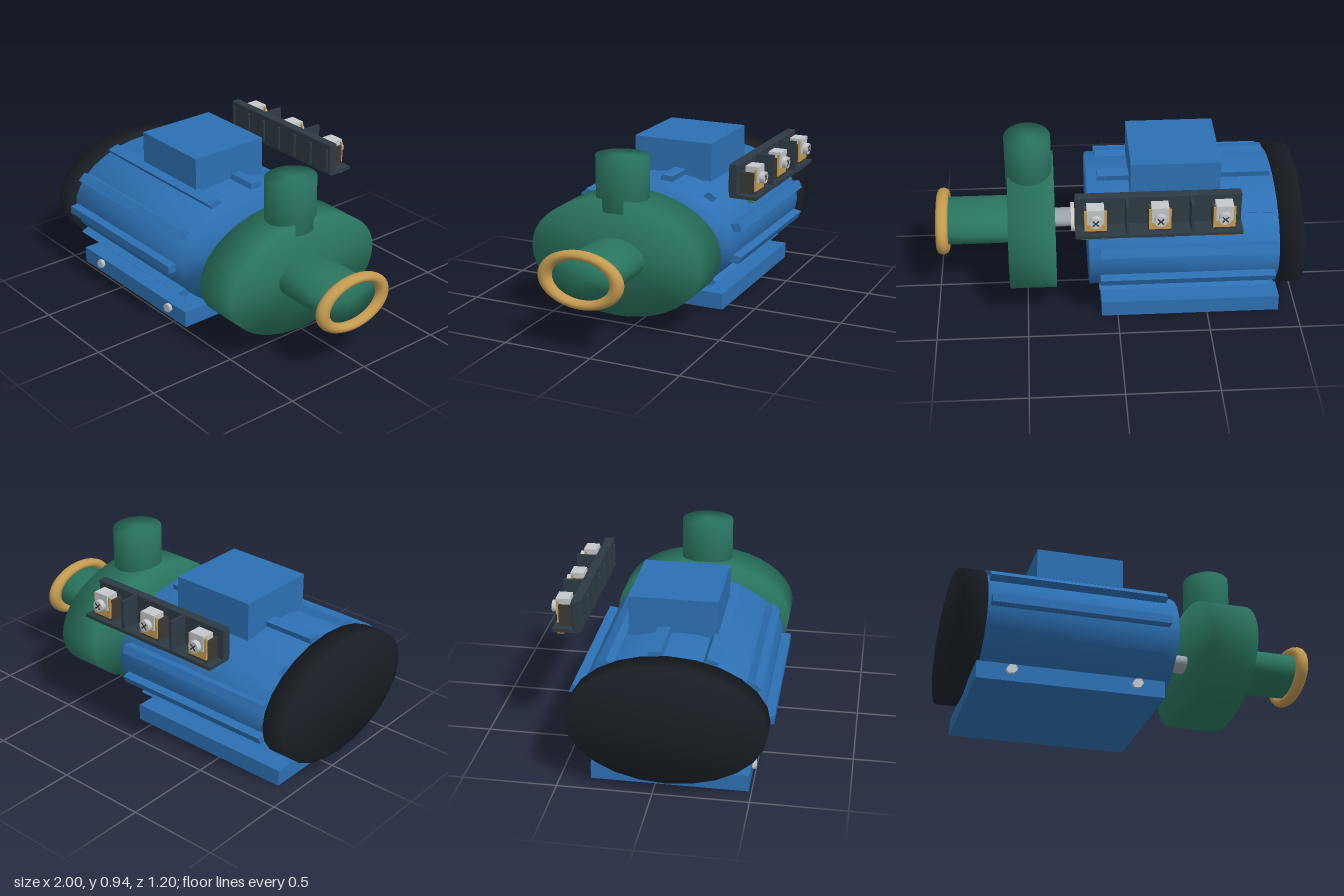
import * as THREE from 'three';
import { mergeVertices } from 'three/addons/utils/BufferGeometryUtils.js';
import { RoundedBoxGeometry } from 'three/addons/geometries/RoundedBoxGeometry.js';

const mat = (color) => new THREE.MeshStandardMaterial({ color });
const AXIS_Y = 0.4, AXIS_Z = 0.067, STRETCH = 1.565; // machine axis runs along x, oval in z

export function createModel() {
  const model = new THREE.Group();
  const blue = mat(0x2d70b3), green = mat(0x2a7560), black = mat(0x1a1f26), tan = mat(0xc49a50);
  const steel = mat(0x9aa3aa), ivory = mat(0xcfc9be), slate = mat(0x2e3a43), brown = mat(0x3b3834);
  const silver = mat(0xc4c8cb);

  const add = (parent, name, geometry, material, x = 0, y = 0, z = 0) => {
    const mesh = new THREE.Mesh(geometry, material);
    mesh.name = name;
    mesh.position.set(x, y, z);
    parent.add(mesh);
    return mesh;
  };
  // box given by its limits
  const block = (parent, name, material, x0, x1, y0, y1, z0, z1) =>
    add(parent, name, new THREE.BoxGeometry(x1 - x0, y1 - y0, z1 - z0), material,
      (x0 + x1) / 2, (y0 + y1) / 2, (z0 + z1) / 2);
  // normals shared across the rims, for a soft cast look
  const soften = (g) => {
    g.deleteAttribute('uv');
    g.deleteAttribute('normal');
    const merged = mergeVertices(g, 1e-4);
    merged.computeVertexNormals();
    return merged;
  };
  // oval drum along x
  const drum = (name, material, x0, x1, r, soft = true, segments = 24) => {
    const g = new THREE.CylinderGeometry(r, r, x1 - x0, segments);
    g.rotateZ(Math.PI / 2).scale(1, 1, STRETCH);
    return add(model, name, soft ? soften(g) : g, material, (x0 + x1) / 2, AXIS_Y, AXIS_Z);
  };

  // motor
  drum('motorBody', blue, -0.88, 0.155, 0.31, true, 32);
  drum('fanCover', black, -1, -0.87, 0.33);
  const fins = new THREE.Group();
  fins.name = 'coolingFins';
  fins.position.set(-0.375, AXIS_Y, AXIS_Z);
  fins.scale.z = STRETCH;
  for (let i = 0; i < 11; i++) {
    const a = (i * 2 * Math.PI) / 11;
    const fin = add(fins, 'coolingFin', new THREE.BoxGeometry(0.95, 0.045, 0.045), blue,
      0, 0.318 * Math.sin(a), 0.318 * Math.cos(a));
    fin.rotation.x = -a;
  }
  model.add(fins);
  block(model, 'junctionBox', blue, -0.56, -0.075, 0.68, 0.895, -0.195, 0.273);

  // base with bolt heads
  block(model, 'basePlate', blue, -0.9, 0.09, 0, 0.093, -0.34, 0.485);
  for (const x of [-0.72, -0.06]) {
    const bolt = add(model, 'baseBolt', new THREE.CylinderGeometry(0.032, 0.032, 0.03, 6), silver, x, 0.06, 0.49);
    bolt.rotation.set(Math.PI / 2, Math.PI / 6, 0, 'XYZ');
    bolt.scale.z = 0.8;
  }

  // shaft and coupling
  drum('shaft', steel, 0.14, 0.35, 0.045, false);
  drum('couplingRing', ivory, 0.185, 0.245, 0.068, false, 20);

  // pump
  drum('pumpCasing', green, 0.335, 0.59, 0.32, true, 40);
  const outlet = new THREE.CylinderGeometry(0.128, 0.128, 0.287, 32).scale(1, 1, 1.14);
  add(model, 'outletPipe', soften(outlet), green, 0.475, 0.792, 0.072);
  drum('inletPipe', green, 0.57, 0.95, 0.112, true, 32);
  const flange = new THREE.TorusGeometry(0.132, 0.0245, 14, 48);
  flange.rotateY(Math.PI / 2).scale(1.4, 1, STRETCH);
  add(model, 'inletFlange', flange, tan, 0.962, AXIS_Y, AXIS_Z);

  // terminal block behind the motor
  const terminals = new THREE.Group();
  terminals.name = 'terminalBlock';
  model.add(terminals);
  add(terminals, 'terminalWall', new RoundedBoxGeometry(0.87, 0.183, 0.05, 2, 0.008), slate, -0.2, 0.793, -0.455);
  block(terminals, 'terminalFloor', slate, -0.635, 0.235, 0.7, 0.718, -0.585, -0.44);
  for (const x of [-0.37, -0.035]) {
    block(terminals, 'divider', slate, x - 0.008, x + 0.008, 0.705, 0.883, -0.583, -0.47);
  }
  for (let i = 0; i < 7; i++) {
    add(terminals, 'wallRib', new RoundedBoxGeometry(0.02, 0.14, 0.024, 2, 0.008), slate,
      -0.61 + i * 0.136, 0.785, -0.432);
  }

  // three screw terminals with colour tabs underneath
  [mat(0x2f9a48), mat(0x2d6db5), mat(0xb5682f)].forEach((tabMaterial, i) => {
    const unit = new THREE.Group();
    unit.name = 'terminal';
    unit.position.x = 0.13 - i * 0.333;
    terminals.add(unit);
    block(unit, 'terminalCore', brown, -0.06, 0.06, 0.712, 0.835, -0.556, -0.478);
    block(unit, 'contactPlate', tan, -0.058, 0.058, 0.735, 0.855, -0.566, -0.556);
    block(unit, 'clampPlate', silver, -0.045, 0.045, 0.78, 0.866, -0.573, -0.5);
    const screw = add(unit, 'terminalScrew', new THREE.CylinderGeometry(0.032, 0.032, 0.035, 20), silver, 0, 0.803, -0.582);
    screw.rotation.x = Math.PI / 2;
    for (const angle of [Math.PI / 4, -Math.PI / 4]) {
      const slot = add(unit, 'screwSlot', new THREE.BoxGeometry(0.045, 0.007, 0.002), brown, 0, 0.803, -0.6);
      slot.rotation.z = angle;
    }
    add(unit, 'colourTab', new RoundedBoxGeometry(0.16, 0.035, 0.04, 2, 0.008), tabMaterial, 0, 0.695, -0.545);
  });

  return model;
}
